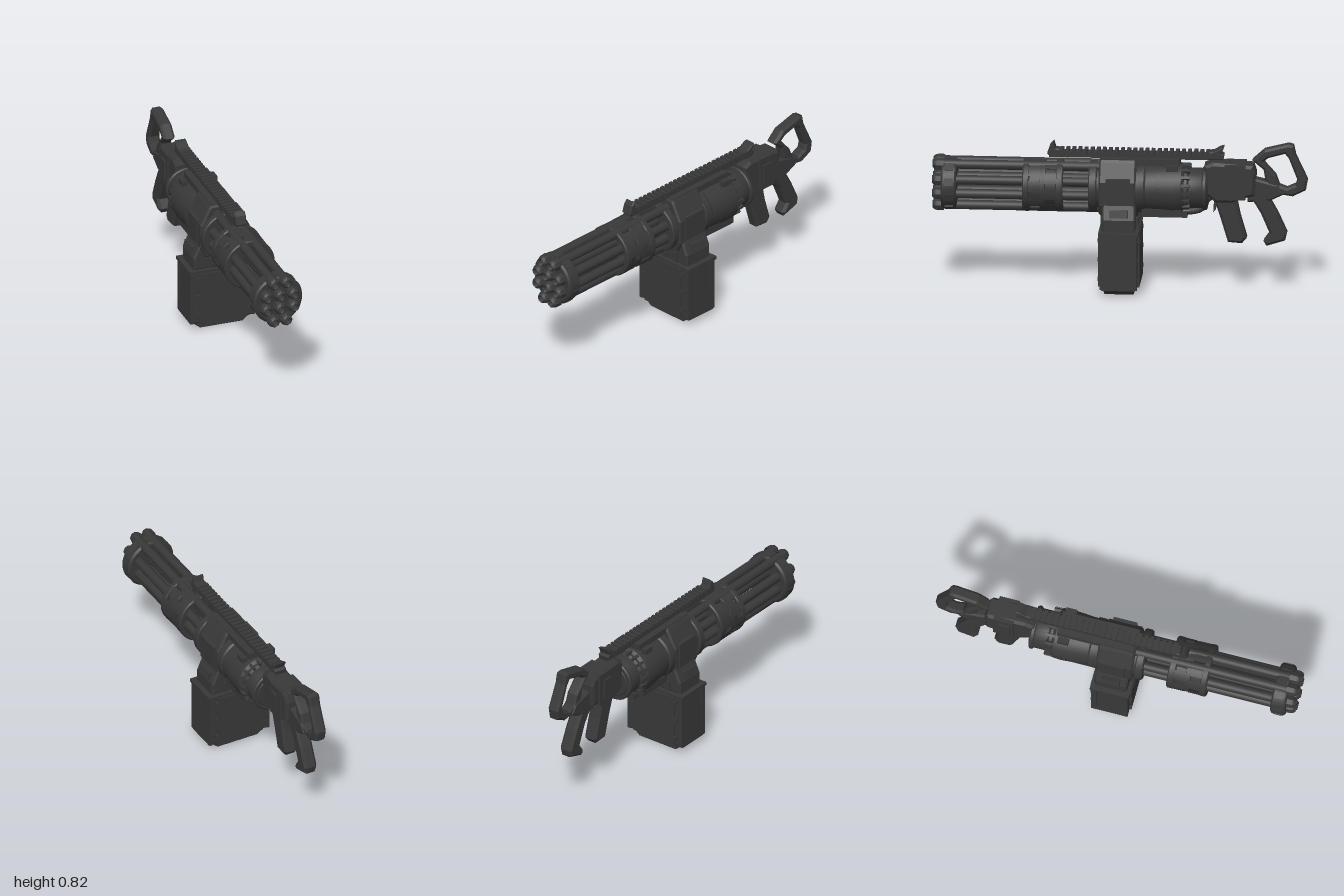
import * as THREE from 'three';
import { toCreasedNormals } from 'three/addons/utils/BufferGeometryUtils.js';

export function createModel() {
  const root = new THREE.Group();
  const gunmetal = new THREE.MeshStandardMaterial({ color: 0x383838, side: THREE.DoubleSide });
  const AXIS = 0.565; // height of the barrel axis

  const add = (name, geo, x = 0, y = 0, z = 0) => {
    const m = new THREE.Mesh(geo, gunmetal);
    m.name = name;
    m.position.set(x, y, z);
    root.add(m);
    return m;
  };
  // box given by its centre x, width, y range and z range
  const box = (name, x, w, y0, y1, z0, z1) =>
    add(name, new THREE.BoxGeometry(w, y1 - y0, z1 - z0), x, (y0 + y1) / 2, (z0 + z1) / 2);
  // side outline in (z, y), extruded to a width across x
  const toPts = (pts) => pts.map(([a, b]) => new THREE.Vector2(a, b));
  const side = (name, pts, w, bevel = 0.01, hole = null, x = 0) => {
    const s = new THREE.Shape(toPts(pts));
    if (hole) s.holes.push(new THREE.Path(toPts(hole)));
    const depth = w - 2 * bevel;
    const g = new THREE.ExtrudeGeometry(s, {
      depth, bevelEnabled: bevel > 0, bevelSize: bevel, bevelOffset: -bevel,
      bevelThickness: bevel, bevelSegments: 1,
    });
    g.translate(0, 0, -depth / 2);
    g.rotateY(-Math.PI / 2);
    return add(name, g, x);
  };
  // front outline in (x, y), extruded along z
  const front = (name, pts, z0, z1, bevel = 0.01) => {
    const g = new THREE.ExtrudeGeometry(new THREE.Shape(toPts(pts)), {
      depth: z1 - z0 - 2 * bevel, bevelEnabled: bevel > 0, bevelSize: bevel, bevelOffset: -bevel,
      bevelThickness: bevel, bevelSegments: 1,
    });
    return add(name, g, 0, 0, z0 + bevel);
  };
  // turned part along z, profile in (radius, z)
  const turned = (name, pts, x = 0, y = AXIS, seg = 32, start = 0, len = Math.PI * 2) => {
    const g = new THREE.LatheGeometry(toPts(pts), seg, start, len);
    g.rotateX(Math.PI / 2);
    return add(name, toCreasedNormals(g, 0.6), x, y, 0);
  };
  const ring = (name, r0, r1, z0, z1, c = 0.006) => turned(name, [[r0, z0], [r1 - c, z0],
    [r1, z0 + c], [r1, z1 - c], [r1 - c, z1], [r0, z1], [r0, z0]]);

  // barrel bundle in rows of two, three, three and two
  const barrels = [[0.035, 0.68], [0.075, 0.605], [0, 0.605], [0.077, 0.53], [0, 0.53], [0.035, 0.456]];
  for (const [bx, by] of barrels) {
    for (const s of bx ? [-1, 1] : [1]) {
      turned('barrel', [[0.026, 0.1], [0.026, 0.95]], s * bx, by, 12);
      turned('muzzle', [[0.0, 0.95], [0.016, 0.95], [0.016, 0.992], [0.021, 1.0], [0.03, 0.99],
        [0.034, 0.975], [0.034, 0.94]], s * bx, by, 8);
    }
  }

  // front clamp with scalloped lugs
  ring('frontClamp', 0, 0.138, 0.87, 0.952, 0.01);
  for (let i = 0; i < 10; i++) {
    const a = (i / 10) * Math.PI * 2 + 0.3;
    const lug = add('clampLug', new THREE.BoxGeometry(0.01, 0.04, 0.045),
      Math.cos(a) * 0.136, AXIS + Math.sin(a) * 0.136, 0.91);
    lug.rotation.z = a;
  }

  // middle shroud with slots
  ring('shroudRing', 0.118, 0.142, 0.3, 0.34);
  ring('shroudRing', 0.118, 0.142, 0.48, 0.517);
  ring('shroudBand', 0.118, 0.138, 0.395, 0.425, 0.002);
  for (let i = 0; i < 10; i++) {
    for (const [z0, z1, off] of [[0.335, 0.4, 0], [0.42, 0.485, 0.3]]) {
      turned('shroudRib', [[0.118, z0], [0.14, z0], [0.14, z1], [0.118, z1], [0.118, z0]],
        0, AXIS, 5, (i / 10) * Math.PI * 2 + off, 0.42);
    }
  }
  turned('shroudCore', [[0, 0.33], [0.112, 0.33], [0.112, 0.48], [0, 0.48]]);

  // receiver
  ring('bearingRing', 0, 0.138, 0.12, 0.165);
  turned('receiverDrum', [[0, 0.13], [0.12, 0.13], [0.12, 0.07], [0.128, 0.06], [0.128, -0.08],
    [0.135, -0.09], [0.135, -0.13], [0.128, -0.14], [0.132, -0.2], [0.138, -0.28], [0.135, -0.33],
    [0.12, -0.345], [0.12, -0.36], [0.108, -0.37], [0.108, -0.44], [0.09, -0.47], [0, -0.47]].reverse());
  front('receiverBlock', [[-0.1, 0.43], [0.1, 0.43], [0.128, 0.49], [0.128, 0.62], [0.08, 0.715],
    [0.07, 0.73], [-0.07, 0.73], [-0.08, 0.715], [-0.128, 0.62], [-0.128, 0.49]], -0.09, 0.11);
  for (const s of [-1, 1]) {
    box('sidePlate', s * 0.122, 0.03, 0.5, 0.64, -0.06, 0.07);
    box('sideLug', s * 0.085, 0.03, 0.68, 0.71, -0.31, -0.25);
    box('lowerRib', s * 0.08, 0.03, 0.43, 0.47, -0.33, -0.12);
  }
  // cooling fins around the rear of the drum
  for (let i = 0; i < 18; i++) {
    const a = (i / 18) * Math.PI * 2;
    const fin = add('coolingFin', new THREE.BoxGeometry(0.02, 0.016, 0.17),
      Math.cos(a) * 0.123, AXIS + Math.sin(a) * 0.123, -0.29);
    fin.rotation.z = a;
  }
  ring('rearCollar', 0, 0.118, -0.465, -0.44);
  box('receiverBase', 0, 0.12, 0.415, 0.47, -0.36, -0.11);
  const feed = new THREE.CatmullRomCurve3([[-0.2, 0.43], [-0.32, 0.43], [-0.43, 0.45], [-0.46, 0.5],
    [-0.5, 0.53]].map(([z, y]) => new THREE.Vector3(0, y, z)));
  add('lowerPipe', new THREE.TubeGeometry(feed, 20, 0.018, 8));

  // top rail with teeth and sights
  box('railBase', 0, 0.13, 0.7, 0.735, -0.32, 0.1);
  box('rail', 0, 0.056, 0.728, 0.758, -0.54, 0.38);
  for (let i = 0; i < 26; i++) {
    const z = -0.5 + i * 0.0325;
    box('railTooth', 0, 0.07, 0.75, 0.772, z - 0.01, z + 0.01);
  }
  side('frontSight', [[0.39, 0.745], [0.37, 0.73], [0.3, 0.73], [0.31, 0.77], [0.345, 0.775],
    [0.355, 0.81], [0.375, 0.79]], 0.06, 0.005);
  side('rearSight', [[-0.47, 0.73], [-0.55, 0.73], [-0.555, 0.755], [-0.54, 0.765], [-0.555, 0.8],
    [-0.535, 0.795], [-0.5, 0.775], [-0.47, 0.77]], 0.065, 0.005);

  // stock
  side('stockBody', [[-0.45, 0.7], [-0.5, 0.72], [-0.71, 0.705], [-0.725, 0.66], [-0.72, 0.54],
    [-0.66, 0.525], [-0.6, 0.5], [-0.51, 0.5], [-0.45, 0.55]], 0.12, 0.015);
  box('stockBand', 0, 0.14, 0.52, 0.71, -0.67, -0.56);
  for (const s of [-1, 1]) box('stockPanel', s * 0.07, 0.02, 0.56, 0.67, -0.64, -0.58);
  side('gripLink', [[-0.68, 0.56], [-0.68, 0.5], [-0.8, 0.51], [-0.88, 0.55], [-0.84, 0.6], [-0.72, 0.63]],
    0.075, 0.01);
  side('frontGrip', [[-0.5, 0.52], [-0.62, 0.52], [-0.64, 0.42], [-0.675, 0.3], [-0.65, 0.27],
    [-0.575, 0.275], [-0.535, 0.41]], 0.075, 0.014);
  side('rearGrip', [[-0.69, 0.54], [-0.79, 0.53], [-0.84, 0.44], [-0.89, 0.33], [-0.88, 0.29],
    [-0.78, 0.258], [-0.765, 0.285], [-0.797, 0.33], [-0.75, 0.44]], 0.075, 0.014);
  side('trigger', [[-0.5, 0.51], [-0.515, 0.51], [-0.51, 0.45], [-0.495, 0.435]], 0.015, 0.002);

  // carrying loop
  side('loopHandle', [[-0.705, 0.73], [-0.77, 0.79], [-0.9, 0.823], [-0.925, 0.815], [-0.937, 0.76],
    [-1, 0.625], [-0.99, 0.57], [-0.92, 0.535], [-0.82, 0.55], [-0.775, 0.62], [-0.765, 0.68]], 0.065, 0.012,
  [[-0.765, 0.725], [-0.79, 0.745], [-0.88, 0.77], [-0.9, 0.745], [-0.945, 0.63], [-0.935, 0.6],
    [-0.89, 0.58], [-0.85, 0.595], [-0.83, 0.65], [-0.785, 0.7]]);

  // magazine box
  front('magazineBody', [[-0.12, 0.035], [0.12, 0.035], [0.18, 0.035], [0.176, 0.35], [-0.176, 0.35],
    [-0.18, 0.035]], -0.1, 0.1, 0.012);
  front('magazineFoot', [[-0.12, 0], [0.12, 0], [0.165, 0.036], [0.165, 0.06], [-0.165, 0.06],
    [-0.165, 0.036]], -0.08, 0.08, 0.004);
  box('magazineLip', 0, 0.378, 0.337, 0.354, -0.107, 0.107);
  for (const f of [-1, 1]) {
    box('magazinePanel', 0, 0.27, 0.045, 0.335, f * 0.102 - 0.008, f * 0.102 + 0.008);
    box('magazineInset', 0, 0.2, 0.085, 0.28, f * 0.108 - 0.004, f * 0.108 + 0.004);
    for (const s of [-1, 1]) {
      for (const y of [0.09, 0.2, 0.305]) box('magazineLatch', s * 0.142, 0.016, y - 0.01, y + 0.01,
        f * 0.104 - 0.008, f * 0.104 + 0.008);
      box('magazineCorner', s * 0.174, 0.016, 0.04, 0.34, f * 0.085 - 0.015, f * 0.085 + 0.015);
    }
  }

  // feed neck and side wings
  front('feedNeck', [[-0.16, 0.352], [0.16, 0.352], [0.16, 0.42], [0.125, 0.5], [-0.125, 0.5],
    [-0.16, 0.42]], -0.09, 0.09);
  for (const s of [-1, 1]) {
    box('neckWing', s * 0.145, 0.042, 0.43, 0.472, -0.05, 0.05).rotation.z = s * 0.25;
    box('neckRib', s * 0.08, 0.03, 0.36, 0.42, -0.1, 0.1);
  }
  box('neckCatch', 0, 0.032, 0.36, 0.39, -0.1, 0.1);
  return root;
}
